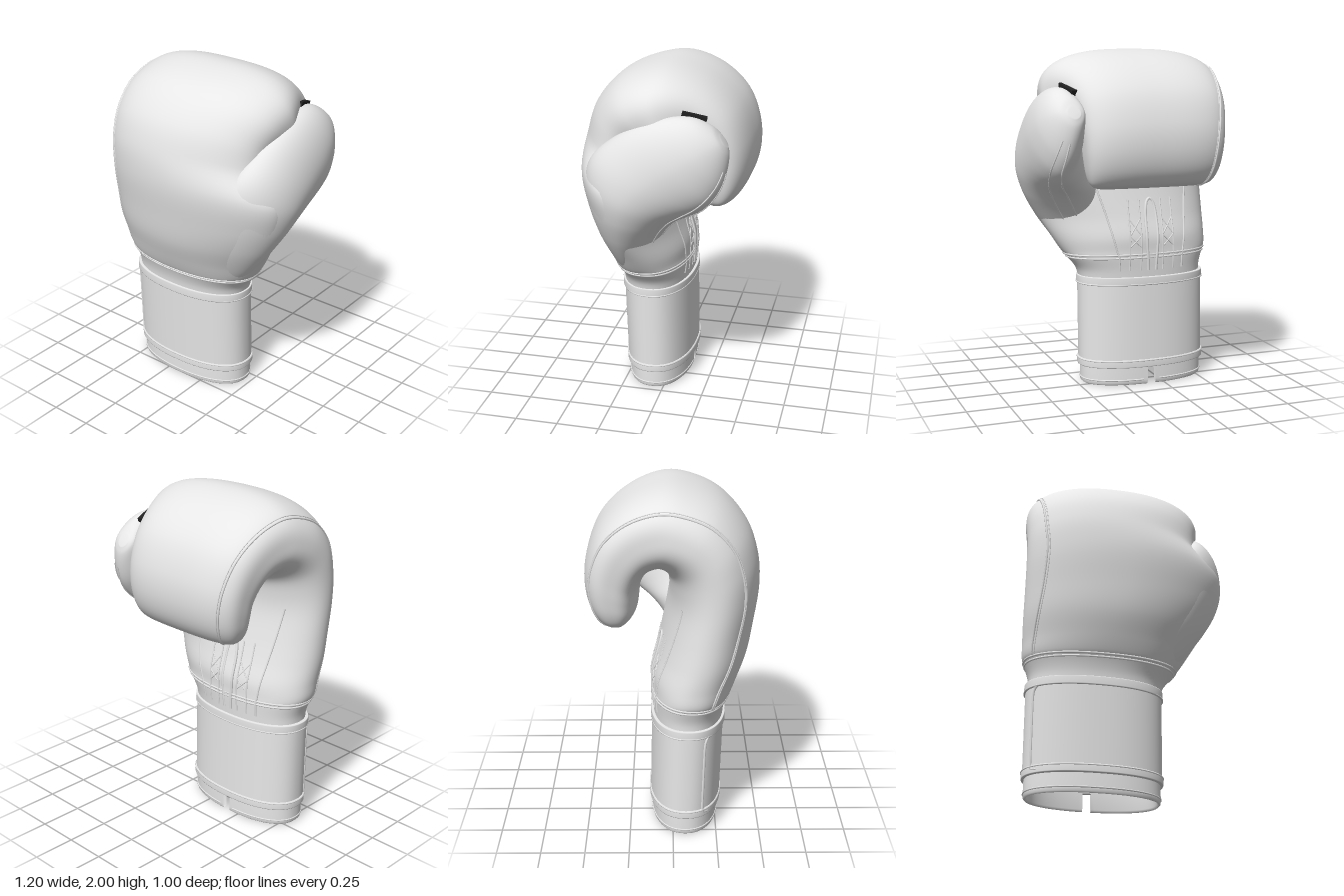
import * as THREE from 'three';

const leather = new THREE.MeshStandardMaterial({ color: 0xe7e7e7, side: THREE.DoubleSide });
leather.name = 'grey leather';
const black = new THREE.MeshStandardMaterial({ color: 0x222222 });
black.name = 'black webbing';
const white = new THREE.MeshStandardMaterial({ color: 0xf4f4f4, side: THREE.DoubleSide });
white.name = 'white lining';

const RING = 96;
const { smoothstep } = THREE.MathUtils;

// Superellipse sections swept through stations [outerZ, outerY, innerZ, innerY, xMin, xMax];
// n(k, u) is the squareness at station k, side u
function sweep(stations, { n = () => 2.25, steps = 6, cap = false, gapRows = 0 } = {}) {
  const last = stations.length - 1;
  const outer = new THREE.CatmullRomCurve3(stations.map(s => new THREE.Vector3(s[0], s[1], s[4])));
  const inner = new THREE.CatmullRomCurve3(stations.map(s => new THREE.Vector3(s[2], s[3], s[5])));
  const frame = k => {
    const o = outer.getPoint(k / last), i = inner.getPoint(k / last);
    return { o, i, xc: (o.z + i.z) / 2, hx: (i.z - o.z) / 2 };
  };
  // point at station k, u across (x), v from inner (-1) to outer (+1)
  const at = (k, u, v) => {
    const { o, i, xc, hx } = frame(k);
    const w = (v + 1) / 2;
    return new THREE.Vector3(xc + hx * u, i.y + (o.y - i.y) * w, i.x + (o.x - i.x) * w);
  };
  const onU = (k, u, side) => {
    const e = n(k, u);
    return at(k, u, side * Math.pow(Math.max(0, 1 - Math.pow(Math.abs(u), e)), 1 / e));
  };
  const onX = (k, x, side) => {
    const { xc, hx } = frame(k);
    return onU(k, (x - xc) / hx, side);
  };
  const ring = k => Array.from({ length: RING }, (_, j) => {
    const c = Math.cos(j / RING * Math.PI * 2), s = Math.sin(j / RING * Math.PI * 2);
    const e = n(k, c);
    const r = Math.pow(Math.pow(Math.abs(c), e) + Math.pow(Math.abs(s), e), -1 / e);
    return at(k, r * c, r * s);
  });

  const pts = [], index = [], rows = last * steps;
  for (let i = 0; i <= rows; i++) pts.push(...ring(i / steps));
  for (let i = 0; i < rows; i++) for (let j = 0; j < RING; j++) {
    if (i < gapRows && (j === 71 || j === 72)) continue;
    const a = i * RING + j, c = i * RING + (j + 1) % RING, b = a + RING, d = c + RING;
    index.push(a, b, c, c, b, d);
  }
  if (cap) {
    pts.push(at(last, 0, 0));
    for (let j = 0; j < RING; j++) index.push(rows * RING + j, pts.length - 1, rows * RING + (j + 1) % RING);
  }
  const geometry = new THREE.BufferGeometry().setFromPoints(pts);
  geometry.setIndex(index);
  geometry.computeVertexNormals();
  return { geometry, onU, onX, ring };
}

export function createModel() {
  const glove = new THREE.Group();
  glove.name = 'boxingGlove';
  const add = (name, geometry, material = leather) => {
    const mesh = new THREE.Mesh(geometry, material);
    mesh.name = name;
    glove.add(mesh);
    return mesh;
  };
  const cord = (name, pts, r = 0.006, closed = false) =>
    add(name, new THREE.TubeGeometry(new THREE.CatmullRomCurve3(pts, closed), closed ? 128 : 80, r, 6, closed));
  const along = (k0, k1, fn, count = 40) =>
    Array.from({ length: count + 1 }, (_, i) => fn(k0 + (k1 - k0) * i / count, i / count));

  // Rounder over the back of the hand, most of all towards the thumb; squarer at the fist
  const bodyRoundness = (k, u) => {
    const thumbSide = smoothstep(k, 2, 5) * (1 - smoothstep(k, 7, 10));
    return 2.25 - .15 * smoothstep(k, 2, 5) + .9 * smoothstep(k, 8, 14) - (u > 0 ? .25 * thumbSide : 0);
  };

  // Padded hand: up the back, over the knuckles and down to the curled fingertips
  const body = sweep([
    [.29, .62, -.11, .62, -.545, .215],
    [.30, .70, -.115, .70, -.55, .235],
    [.325, .775, -.12, .78, -.575, .295],
    [.345, .81, -.12, .82, -.59, .325],
    [.385, .90, -.12, .90, -.595, .38],
    [.435, 1.03, -.09, 1.02, -.6, .455],
    [.47, 1.20, -.06, 1.15, -.6, .53],
    [.50, 1.42, -.03, 1.30, -.6, .555],
    [.48, 1.60, -.02, 1.42, -.6, .42],
    [.42, 1.76, -.03, 1.48, -.6, .42],
    [.28, 1.91, -.06, 1.52, -.597, .46],
    [.10, 1.985, -.09, 1.535, -.585, .475],
    [-.05, 1.998, -.12, 1.53, -.57, .445],
    [-.25, 1.925, -.15, 1.51, -.55, .385],
    [-.41, 1.78, -.17, 1.47, -.53, .35],
    [-.485, 1.60, -.185, 1.42, -.51, .335],
    [-.497, 1.45, -.19, 1.36, -.495, .325],
    [-.47, 1.33, -.20, 1.30, -.475, .31],
    [-.42, 1.255, -.225, 1.26, -.445, .29],
    [-.37, 1.23, -.26, 1.235, -.41, .26],
    [-.335, 1.223, -.285, 1.225, -.36, .20],
  ], { n: bodyRoundness, cap: true });
  add('paddedHand', body.geometry);

  // Thumb lobe, blending out of the hand and curving back beside the fist
  const thumb = sweep([
    [.26, .76, .12, .76, -.1, .24],
    [.31, .88, .07, .86, -.06, .345],
    [.365, 1.04, .01, .99, -.02, .455],
    [.40, 1.22, -.06, 1.10, .03, .54],
    [.408, 1.39, -.13, 1.17, .09, .585],
    [.355, 1.525, -.20, 1.215, .17, .598],
    [.21, 1.655, -.27, 1.26, .24, .598],
    [.05, 1.74, -.33, 1.32, .29, .59],
    [-.10, 1.785, -.38, 1.40, .3, .568],
    [-.22, 1.785, -.408, 1.49, .315, .53],
    [-.32, 1.74, -.418, 1.58, .335, .48],
    [-.37, 1.69, -.41, 1.63, .365, .435],
  ], { n: () => 1.85, cap: true });
  add('thumb', thumb.geometry);

  // Web strap joining thumb and fist
  const web = add('thumbWeb', new THREE.BoxGeometry(.035, .075, .14), black);
  web.position.set(.383, 1.76, -.212);
  web.rotation.set(-.3, .25, 0);

  // Wrist cuff, its two raised bands, and the hollow liner with a slit at the back
  const level = (y, inset, z0, z1, x0 = -.56, x1 = .225) =>
    [z1 - inset, y, z0 + inset, y, x0 + inset, x1 - inset];
  const cuff = sweep([level(.13, 0, -.132, .28), level(.64, 0, -.122, .298)], { steps: 4 });
  add('wristCuff', cuff.geometry);
  const band = (name, y0, y1, z0, z1) => add(name, sweep(
    [[y0, .03], [y0, .002], [y0 + .005, 0], [y1 - .005, 0], [y1, .002], [y1, .03]]
      .map(([y, inset]) => level(y, inset, z0, z1, -.567, .232)), { steps: 1 }).geometry);
  band('cuffTopBand', .61, .66, -.128, .307);
  band('cuffBottomBand', .11, .157, -.138, .285);
  const liner = sweep(
    [[.13, .01], [.03, .008], [.008, .01], [0, .018], [.012, .03], [.12, .035], [.7, .04]]
      .map(([y, inset]) => level(y, inset, -.13, .273)), { steps: 1, gapRows: 5 });
  add('wristLiner', liner.geometry);

  // Stitching on the cuff and liner hem
  for (const y of [.15, .615]) {
    cord('cuffStitch', cuff.ring((y - .13) / .51).map(p =>
      p.set((p.x + .1675) * 1.015 - .1675, y, (p.z - .08) * 1.015 + .08)), .005, true);
  }
  const hem = liner.ring(1);
  cord('linerHem', [...hem.slice(74), ...hem.slice(0, 71)], .005);
  cord('strapEnd', along(.02, .97, (k, f) => cuff.onX(k, -.53 + .03 * Math.pow(Math.abs(2 * f - 1), 12), 1)), .008);

  // Double seam where the padding meets the wrist
  for (const k of [1.95, 2.4]) cord('wristSeam', body.ring(k), .006, true);

  // Piped edge seam with stitch line along the little-finger side
  const edge = k => -.83 - .08 * Math.pow(Math.cos(Math.PI * (k - 3) / 9), 2);
  cord('edgePiping', along(2.5, 19.5, k => body.onU(k, edge(k), 1), 90), .007);
  cord('edgeStitch', along(2.5, 19.5, k => body.onU(k, edge(k) + .025, 1), 90), .0035);

  // Palm opening with a piped, rounded border
  const mid = -.17;
  const halfWidth = f => (.024 + .018 * f) * Math.sqrt(Math.max(0, 1 - Math.pow(f, 8)));
  const border = side => along(1, 5.8, (k, f) => body.onX(k, mid + side * halfWidth(f), -1));
  const left = border(1), right = border(-1);
  const strip = [], faces = [];
  left.forEach((p, i) => {
    for (const q of [p, right[i]]) strip.push(q.clone().setZ(q.z - .004));
    if (i) faces.push(2 * i - 2, 2 * i - 1, 2 * i, 2 * i, 2 * i - 1, 2 * i + 1);
  });
  const opening = new THREE.BufferGeometry().setFromPoints(strip);
  opening.setIndex(faces);
  opening.computeVertexNormals();
  add('palmOpening', opening, white);
  cord('openingPiping', [...left, ...right.slice(0, -1).reverse()], .01);

  // Reinforced flaps either side of the opening, with crossed stitching
  for (const side of [-1, 1]) {
    const x0 = mid + side * .07, x1 = mid + side * .14;
    const on = (k, x) => body.onX(k, x, -1);
    for (const x of [x0, x1]) cord('flapStitch', along(1, 5.8, k => on(k, x)), .005);
    for (const [ka, kb] of [[3.3, 4.1], [4.1, 4.9]]) {
      cord('flapCross', along(ka, kb, (k, f) => on(k, x0 + (x1 - x0) * f), 8), .004);
      cord('flapCross', along(ka, kb, (k, f) => on(k, x1 + (x0 - x1) * f), 8), .004);
    }
    // Curved panel seam at the outer side of the palm
    const reach = side < 0 ? -.45 : .2;
    cord('palmPanelSeam', along(1, 7.2, (k, f) =>
      on(k, mid + side * .2 + (reach - mid - side * .2) * f * f)), .006);
  }

  // Thumb panel seams
  for (const u of [.1, .45]) cord('thumbSeam', along(.8, 9, k => thumb.onU(k, u, -1)), .005);

  return glove;
}
